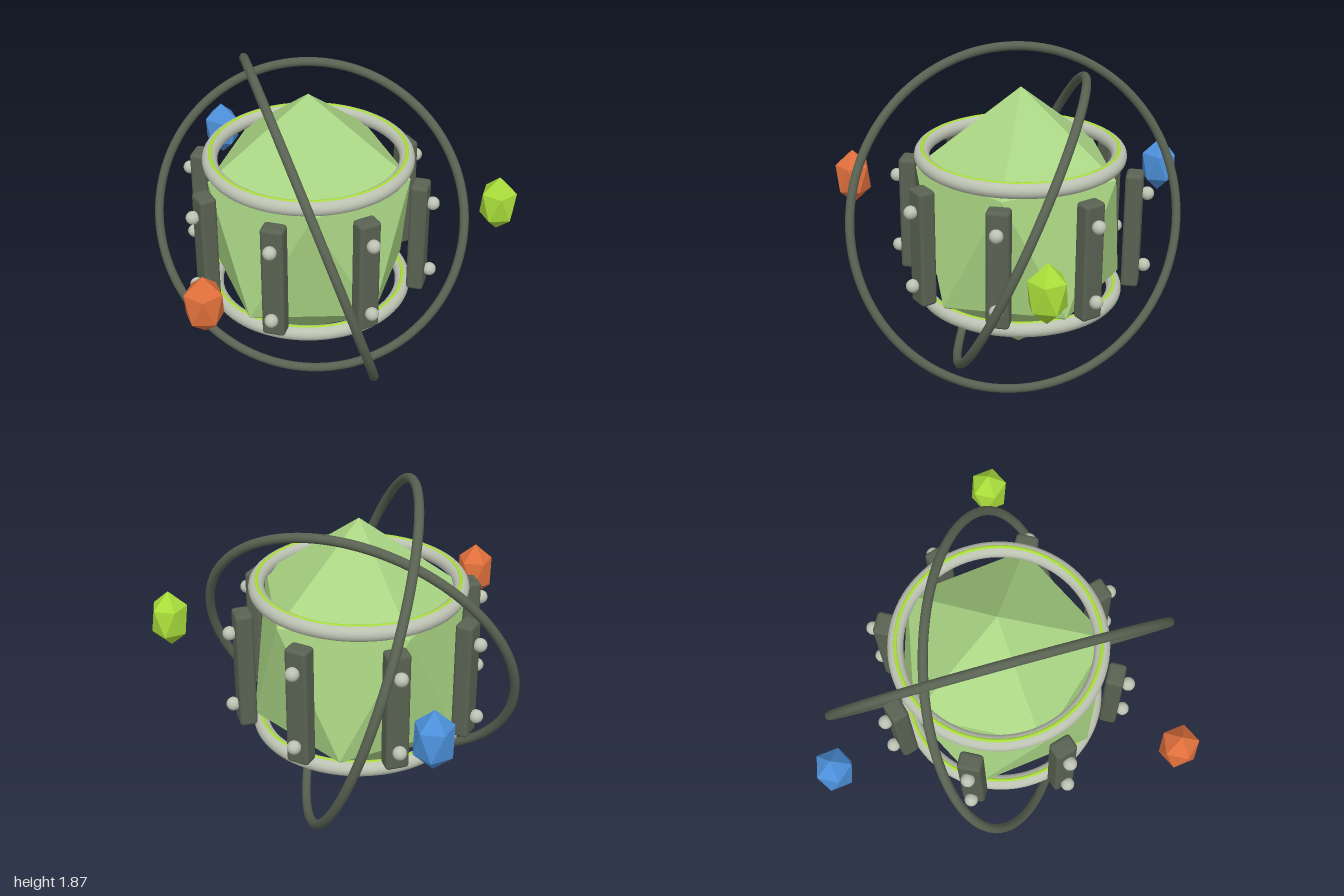
import * as THREE from 'three';
import { RoundedBoxGeometry } from 'three/addons/geometries/RoundedBoxGeometry.js';

const mat = (color, flatShading = false) => new THREE.MeshStandardMaterial({ color, flatShading });
const frameMat = mat(0x596252);
const metalMat = mat(0xbcc2b2);
const glowMat = mat(0xa8dc3a);

function add(parent, name, geometry, material, x = 0, y = 0, z = 0) {
  const mesh = new THREE.Mesh(geometry, material);
  mesh.name = name;
  mesh.position.set(x, y, z);
  parent.add(mesh);
  return mesh;
}

// Stretched icosahedron standing on a vertex: two staggered pentagons between two tips
function crystalGeometry(radius, halfHeight) {
  const ring = (y, offset) => Array.from({ length: 5 }, (_, k) => {
    const a = (k + offset) * Math.PI * 2 / 5;
    return new THREE.Vector3(radius * Math.cos(a), y, radius * Math.sin(a));
  });
  const shoulder = halfHeight / Math.sqrt(5);
  const upper = ring(shoulder, 0), lower = ring(-shoulder, 0.5);
  const top = new THREE.Vector3(0, halfHeight, 0), bottom = new THREE.Vector3(0, -halfHeight, 0);
  const points = [];
  for (let k = 0; k < 5; k++) {
    const n = (k + 1) % 5;
    points.push(top, upper[n], upper[k]);
    points.push(upper[n], lower[k], upper[k]);
    points.push(upper[n], lower[n], lower[k]);
    points.push(bottom, lower[k], lower[n]);
  }
  const geometry = new THREE.BufferGeometry().setFromPoints(points);
  geometry.computeVertexNormals();
  return geometry;
}

// Ring lying flat, axis along y
const flatRing = (radius, tube) => new THREE.TorusGeometry(radius, tube, 16, 96).rotateX(Math.PI / 2);

export function createModel() {
  const model = new THREE.Group();
  model.name = 'crystalReactor';

  const reactor = new THREE.Group();
  reactor.name = 'reactor';
  reactor.position.set(-0.11, 0.945, -0.13);
  model.add(reactor);

  add(reactor, 'coreCrystal', crystalGeometry(0.57, 0.775), mat(0xaad584, true));

  // Collars around the core, each with a thin glowing inlay on its crest
  for (const [name, y] of [['upper', 0.4], ['lower', -0.4]]) {
    add(reactor, name + 'Collar', flatRing(0.536, 0.042), metalMat, 0, y, 0);
    add(reactor, name + 'GlowInlay', flatRing(0.534, 0.012), glowMat, 0, y + 0.033, 0);
  }

  // Eight upright bars, each with two studs facing outward
  const barGeometry = new RoundedBoxGeometry(0.125, 0.665, 0.095, 3, 0.02);
  const studGeometry = new THREE.SphereGeometry(0.037, 16, 12);
  for (let i = 0; i < 8; i++) {
    const strut = new THREE.Group();
    strut.name = 'strut';
    strut.rotation.y = i * Math.PI / 4;
    add(strut, 'bar', barGeometry, frameMat, 0, 0, 0.627);
    for (const y of [0.215, -0.215]) add(strut, 'stud', studGeometry, metalMat, 0, y, 0.698);
    reactor.add(strut);
  }

  // Two tilted orbit rings, each set by the direction of its axis
  const orbits = [
    ['innerOrbitRing', 0.867, [0.1, 0.4, 0.91]],
    ['outerOrbitRing', 0.958, [0.83, 0.31, -0.466]],
  ];
  for (const [name, radius, axis] of orbits) {
    const ring = add(reactor, name, new THREE.TorusGeometry(radius, 0.025, 14, 128), frameMat);
    ring.quaternion.setFromUnitVectors(new THREE.Vector3(0, 0, 1), new THREE.Vector3(...axis).normalize());
  }

  // Floating shards
  const shardGeometry = crystalGeometry(0.1, 0.165);
  add(model, 'blueShard', shardGeometry, mat(0x4c90da, true), -0.88, 1.03, -0.84);
  add(model, 'greenShard', shardGeometry, mat(0xa8dc3a, true), 0.9, 1.03, -0.44);
  add(model, 'orangeShard', shardGeometry, mat(0xe0703c, true), -0.345, 1.03, 0.9);

  return model;
}
